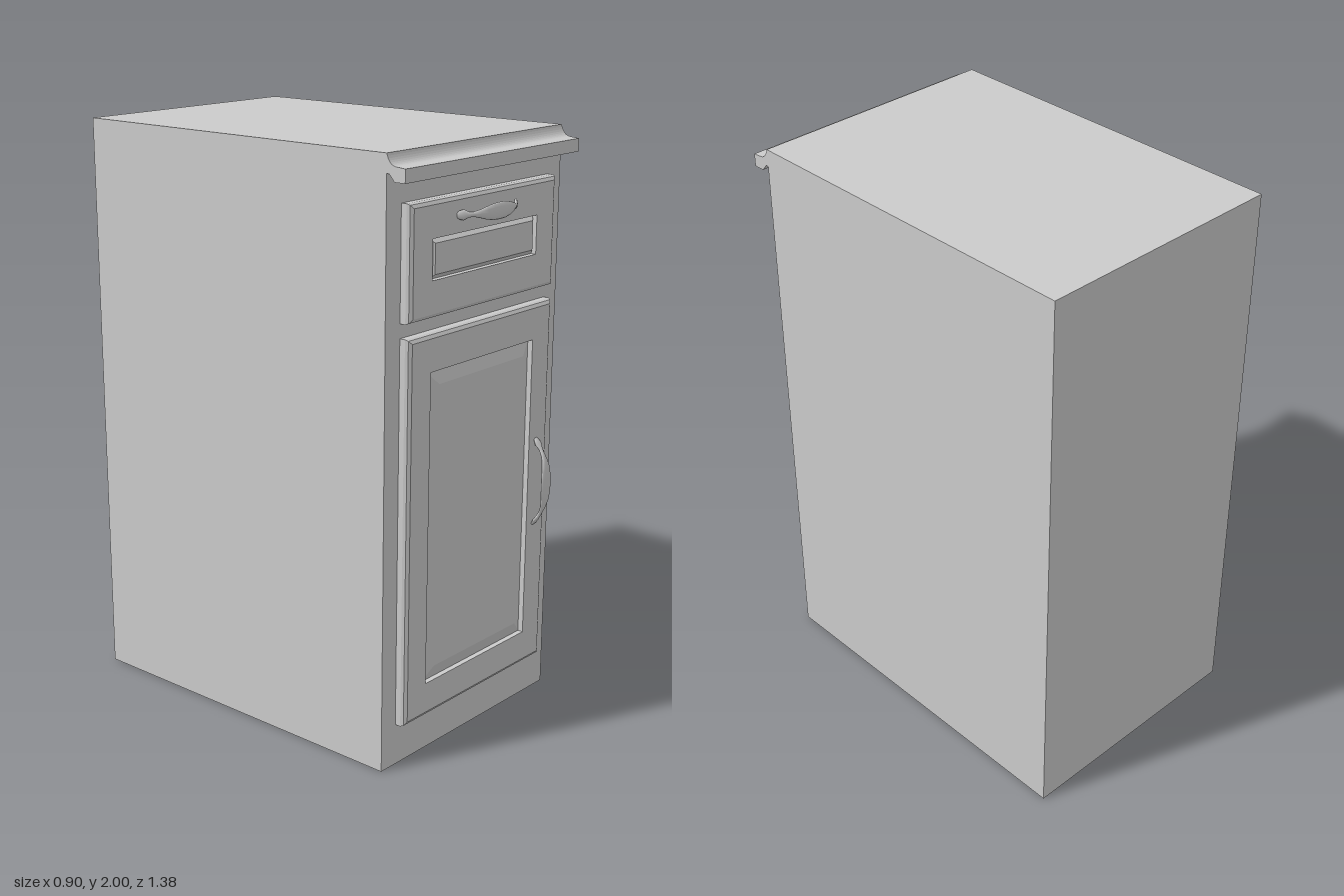
import * as THREE from 'three';

const grey = new THREE.MeshStandardMaterial({ color: 0xcccccc });
const flat = new THREE.MeshStandardMaterial({ color: 0xcccccc, flatShading: true });
const shell = new THREE.MeshStandardMaterial({ color: 0xcccccc, side: THREE.DoubleSide });

function add(parent, name, geometry, material) {
  const mesh = new THREE.Mesh(geometry, material);
  mesh.name = name;
  parent.add(mesh);
  return mesh;
}

function fromQuads(positions, index) {
  const g = new THREE.BufferGeometry();
  g.setAttribute('position', new THREE.Float32BufferAttribute(positions, 3));
  g.setIndex(index);
  g.computeVertexNormals();
  return g;
}

// Rectangular front built from nested rings [halfWidth, bottom, top, z], outermost first
function panelFront(rings) {
  const p = [], idx = [];
  for (const [w, b, t, z] of rings) p.push(-w, b, z, w, b, z, w, t, z, -w, t, z);
  for (let i = 0; i < rings.length - 1; i++) {
    for (let j = 0; j < 4; j++) {
      const a = i * 4 + j, b = i * 4 + (j + 1) % 4;
      idx.push(a, b, b + 4, a, b + 4, a + 4);
    }
  }
  const n = (rings.length - 1) * 4;
  idx.push(n, n + 1, n + 2, n, n + 2, n + 3);
  return fromQuads(p, idx);
}

// Rounded outer edge shared by the door and the drawer
const edge = (w, b, t) => [[0, 0.6], [0, 0.62], [0.004, 0.63], [0.015, 0.637]]
  .map(([inset, z]) => [w - inset, b + inset, t - inset, z]);

// Bow handle along x: a leaf-shaped grip that narrows, then flares into its feet
function handleGeometry() {
  // distance from centre, height, half width, half thickness
  const half = [
    [0, 0.047, 0.027, 0.007], [0.03, 0.0465, 0.026, 0.007], [0.06, 0.044, 0.021, 0.007],
    [0.085, 0.038, 0.014, 0.006], [0.108, 0.028, 0.008, 0.006], [0.122, 0.02, 0.009, 0.006],
    [0.136, 0.011, 0.017, 0.006], [0.147, 0.004, 0.014, 0.005], [0.156, -0.004, 0.007, 0.004],
  ];
  const stations = [
    ...half.slice(1).reverse().map(([s, ...rest]) => [-s, ...rest]), ...half,
  ];
  const p = [], idx = [], sides = 12;
  stations.forEach(([s, h, w, t], i) => {
    const a = stations[Math.max(i - 1, 0)];
    const b = stations[Math.min(i + 1, stations.length - 1)];
    const angle = Math.atan2(b[1] - a[1], b[0] - a[0]);
    for (let j = 0; j < sides; j++) {
      const q = j / sides * Math.PI * 2, up = Math.sin(q) * t;
      p.push(s - Math.sin(angle) * up, Math.cos(q) * w, h + Math.cos(angle) * up);
      if (i < stations.length - 1) {
        const k = i * sides + j, l = i * sides + (j + 1) % sides;
        idx.push(k, l, l + sides, k, l + sides, k + sides);
      }
    }
  });
  // reverse the winding so the faces look outward
  for (let i = 0; i < idx.length; i += 3) [idx[i], idx[i + 1]] = [idx[i + 1], idx[i]];
  idx.forEach((v, i) => { idx[i] = v; });
  return fromQuads(p, outward(p, idx));
}

// Flip all triangles if the enclosed volume comes out negative
function outward(p, idx) {
  const v = (i) => new THREE.Vector3(p[i * 3], p[i * 3 + 1], p[i * 3 + 2]);
  let volume = 0;
  for (let i = 0; i < idx.length; i += 3) {
    volume += v(idx[i]).dot(v(idx[i + 1]).cross(v(idx[i + 2])));
  }
  return volume < 0 ? idx.slice().reverse() : idx;
}

export function createModel() {
  const cabinet = new THREE.Group();
  cabinet.name = 'cabinet';

  // Carcass: thin shell, open underneath
  const body = new THREE.BoxGeometry(0.9, 2, 1.29);
  const faces = Array.from(body.index.array);
  faces.splice(18, 6);
  body.setIndex(faces);
  body.clearGroups();
  body.translate(0, 1, -0.045);
  add(cabinet, 'carcass', body, shell);

  // Inner compartment behind the door, its floor seen from below
  const inner = new THREE.BoxGeometry(0.76, 1.29, 1.27);
  add(cabinet, 'compartment', inner, shell).position.set(0, 0.785, -0.037);

  // Worktop moulding: concave top, square lip
  const profile = new THREE.Shape();
  profile.moveTo(0.6, 2);
  profile.quadraticCurveTo(0.61, 1.965, 0.635, 1.963);
  profile.lineTo(0.67, 1.96);
  profile.lineTo(0.67, 1.917);
  profile.lineTo(0.63, 1.917);
  profile.lineTo(0.61, 1.94);
  profile.lineTo(0.6, 1.94);
  const moulding = new THREE.ExtrudeGeometry(profile, { depth: 0.9, bevelEnabled: false, curveSegments: 8 });
  moulding.rotateY(-Math.PI / 2);
  // the turn maps the profile's x onto z and the depth onto -x
  moulding.translate(0.45, 0, 0);
  add(cabinet, 'topMoulding', moulding, flat);

  // Drawer front with a small raised field
  add(cabinet, 'drawerFront', panelFront([
    ...edge(0.38, 1.478, 1.845),
    [0.272, 1.598, 1.727, 0.637], [0.272, 1.598, 1.727, 0.618],
    [0.256, 1.614, 1.711, 0.634],
  ]), flat);

  // Door with a wide-bevelled raised field
  add(cabinet, 'door', panelFront([
    ...edge(0.38, 0.142, 1.432),
    [0.272, 0.26, 1.31, 0.637], [0.272, 0.26, 1.31, 0.618],
    [0.225, 0.307, 1.263, 0.634],
  ]), flat);

  // Handles
  const handle = handleGeometry();
  add(cabinet, 'drawerHandle', handle, grey).position.set(0, 1.783, 0.637);
  const doorHandle = add(cabinet, 'doorHandle', handle, grey);
  doorHandle.position.set(0.312, 0.805, 0.637);
  doorHandle.rotation.z = Math.PI / 2;

  return cabinet;
}
